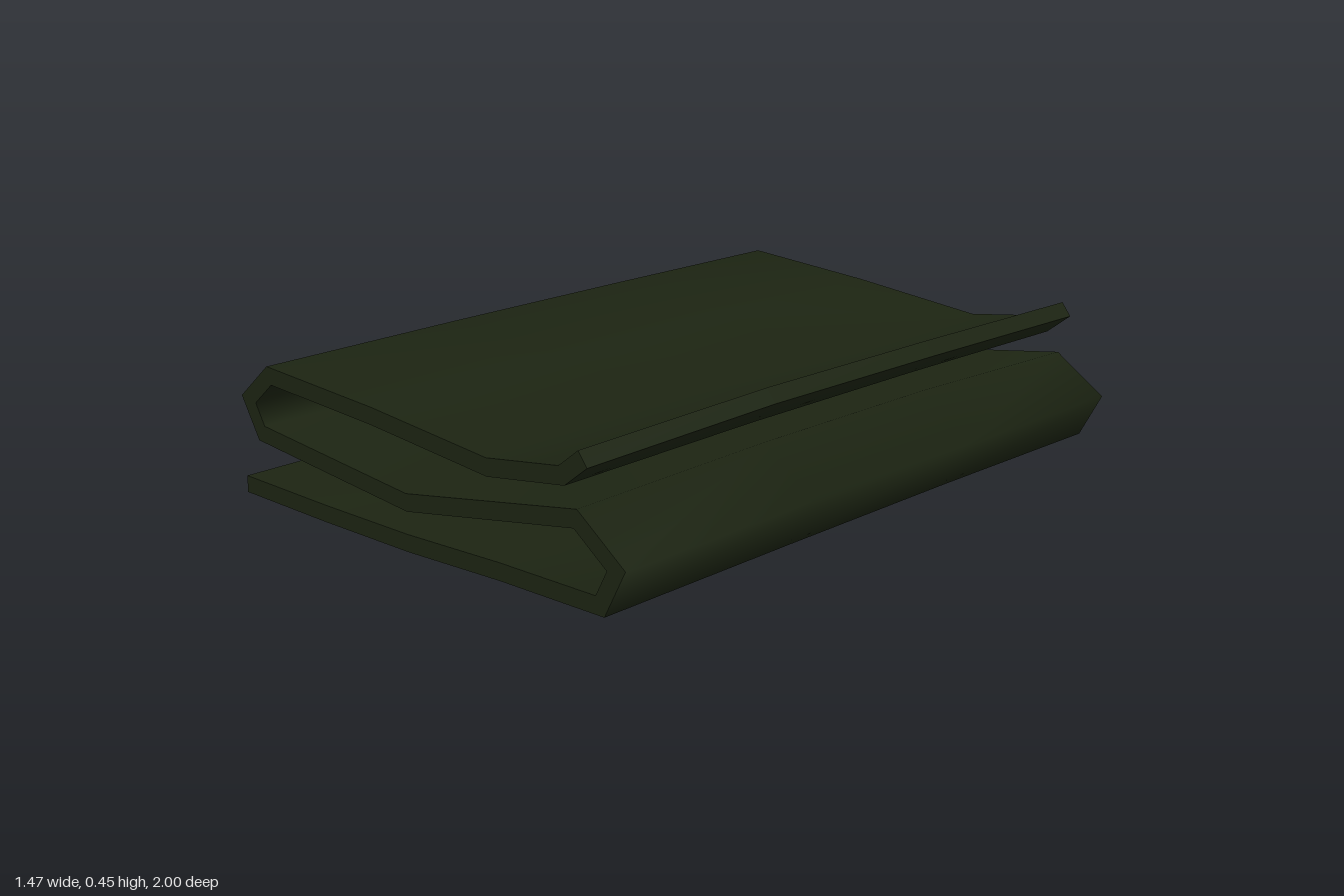
import * as THREE from 'three';

// Centre line of the folded sheet, from the lower free end to the upper one:
// [x, y, height change at each of the four rows from front to back]
const PATH = [
  [-0.735, 0.055, 0, 0, 0, 0],
  [-0.39, 0.05, 0, 0.033, -0.026, 0.005],
  [-0.05, 0.05, 0, 0.006, 0, -0.005],
  [0.3, 0.062, 0, 0.01, 0.012, -0.012],
  [0.65, 0.068, -0.003, 0.002, 0.004, 0],
  [0.705, 0.167, 0, 0.004, 0.002, 0],
  [0.57, 0.268, -0.003, 0.009, 0.007, -0.012],
  [-0.05, 0.16, 0, 0.002, -0.002, 0],
  [-0.655, 0.218, 0, 0.002, 0, -0.002],
  [-0.707, 0.305, 0, 0, 0, 0],
  [-0.61, 0.389, 0, 0.003, 0.002, -0.002],
  [-0.18, 0.364, 0, 0.008, 0.012, -0.004],
  [0.26, 0.324, 0, 0.006, -0.012, -0.004],
  [0.525, 0.366, -0.004, 0.004, 0.002, -0.006],
  [0.598, 0.426, -0.008, 0.005, 0, -0.01],
];
const ROWS = [1, 0.33, -0.33, -1];
const HALF = 0.024;

// Sheet surface point; side is 1 or -1, offset along the mitred normal
function point(i, j, side) {
  const at = (k) => new THREE.Vector2(PATH[k][0], PATH[k][1] + PATH[k][2 + j]);
  const p = at(i), last = PATH.length - 1;
  const before = p.clone().sub(at(Math.max(i - 1, 0))).normalize();
  const after = at(Math.min(i + 1, last)).sub(p).normalize();
  const dir = before.clone().add(after).normalize();
  const cos = i === 0 || i === last ? 1 : dir.dot(after);
  const d = (side * HALF) / Math.max(cos, 0.6);
  return [p.x - dir.y * d, p.y + dir.x * d, ROWS[j]];
}

// Grid patch facing along u cross v, smooth inside and sharp at its rim
function patch(nu, nv, at) {
  const pos = [], index = [];
  for (let u = 0; u < nu; u++) for (let v = 0; v < nv; v++) pos.push(...at(u, v));
  for (let u = 0; u < nu - 1; u++) for (let v = 0; v < nv - 1; v++) {
    const a = u * nv + v, b = a + nv;
    index.push(a, b, b + 1, a, b + 1, a + 1);
  }
  const g = new THREE.BufferGeometry();
  g.setAttribute('position', new THREE.Float32BufferAttribute(pos, 3));
  g.setIndex(index);
  g.computeVertexNormals();
  return g;
}

export function createModel() {
  const group = new THREE.Group();
  group.name = 'foldedBlanket';
  const cloth = new THREE.MeshStandardMaterial({ color: 0x1c2412 });
  const add = (name, geometry) => {
    const mesh = new THREE.Mesh(geometry, cloth);
    mesh.name = name;
    group.add(mesh);
  };
  const n = PATH.length, m = ROWS.length;
  const side = (v) => (v ? 1 : -1);

  // Both faces of the cloth
  add('upperFace', patch(n, m, (u, v) => point(u, v, 1)));
  add('lowerFace', patch(m, n, (u, v) => point(v, u, -1)));

  // Zigzag edges at front and back
  add('frontEdge', patch(n, 2, (u, v) => point(u, 0, side(v))));
  add('backEdge', patch(n, 2, (u, v) => point(u, m - 1, -side(v))));

  // Free ends of the sheet
  add('lowerEnd', patch(m, 2, (u, v) => point(0, u, -side(v))));
  add('upperEnd', patch(m, 2, (u, v) => point(n - 1, u, side(v))));
  return group;
}
